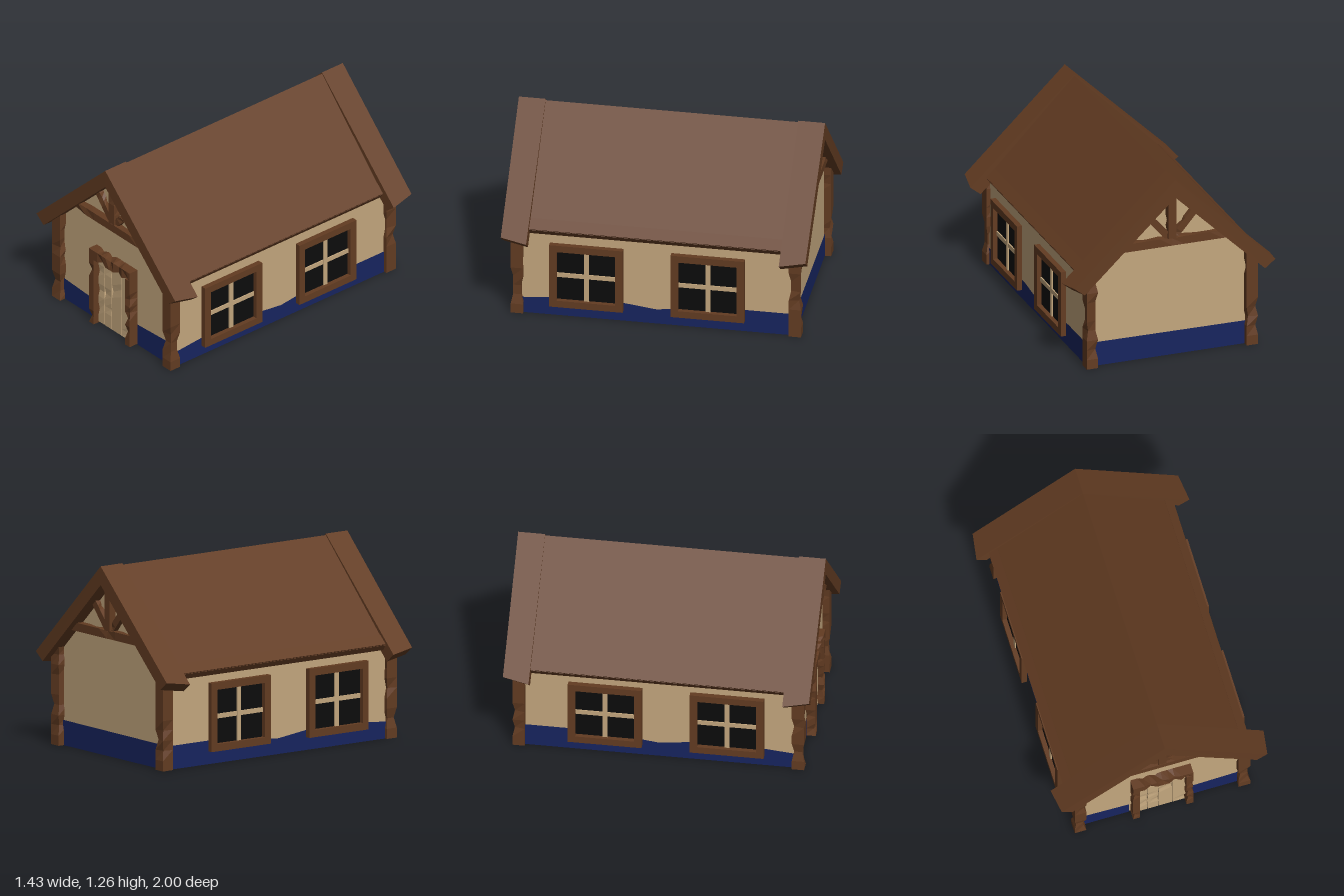
import * as THREE from 'three';

const mat = (color, side = THREE.FrontSide) =>
  new THREE.MeshStandardMaterial({ color, side, flatShading: true });
const wood = mat(0x633c22);
const plaster = mat(0xc4a77e, THREE.DoubleSide);
const planks = mat(0xc4a77e);
const paint = mat(0x17245f, THREE.DoubleSide);
const glass = mat(0x0c0c0c);

function add(parent, name, geometry, material, x = 0, y = 0, z = 0) {
  const mesh = new THREE.Mesh(geometry, material);
  mesh.name = name;
  mesh.position.set(x, y, z);
  parent.add(mesh);
  return mesh;
}

const shapeOf = (points) => new THREE.Shape(points.map(([x, y]) => new THREE.Vector2(x, y)));

// Upright timber with a few nicks cut into its long edges
function timber(w, h, d, seed, nick = 0.014) {
  const rings = 10;
  const g = new THREE.BoxGeometry(w, h, d, 1, rings, 1);
  const p = g.attributes.position;
  for (let i = 0; i < p.count; i++) {
    const ring = Math.round((p.getY(i) / h + 0.5) * rings);
    if (ring === 0 || ring === rings) continue;
    const sx = Math.sign(p.getX(i)), sz = Math.sign(p.getZ(i));
    const n = Math.sin(ring * 12.9898 + sx * 78.233 + sz * 37.719 + seed * 4.37) * 43758.5453;
    if (n - Math.floor(n) > 0.24) continue;
    p.setX(i, p.getX(i) - sx * nick);
    p.setZ(i, p.getZ(i) - sz * nick);
  }
  g.computeVertexNormals();
  return g;
}

// Gable end: wall, truss timbers and the wide roof edge, facing +z
function gableEnd(name, seed) {
  const end = new THREE.Group();
  end.name = name;
  add(end, 'gableWall', new THREE.ShapeGeometry(shapeOf(
    [[-0.56, 0], [0.56, 0], [0.56, 0.65], [0, 1.2], [-0.56, 0.65]])), plaster, 0, 0, 0.9);

  const tie = add(end, 'tieBeam', timber(0.055, 0.86, 0.06, seed + 1, 0.008), wood, 0, 0.808, 0.92);
  tie.rotation.z = Math.PI / 2;
  add(end, 'kingPost', timber(0.056, 0.38, 0.06, seed + 2, 0.008), wood, 0, 1.02, 0.918);
  for (const s of [-1, 1]) {
    const brace = add(end, 'brace', timber(0.046, 0.29, 0.04, seed + 3 + s, 0.008),
      wood, s * 0.11, 0.94, 0.915);
    brace.rotation.z = -s * 0.71;
    add(end, 'cornerPost', timber(0.078, 0.66, 0.08, seed + 6 + s), wood, s * 0.55, 0.33, 0.908);
  }

  // Roof edge, its eave tips drawn in slightly on the outer face
  const edge = new THREE.ExtrudeGeometry(shapeOf([
    [0, 1.26], [-0.715, 0.575], [-0.645, 0.52], [0, 1.137], [0.645, 0.52], [0.715, 0.575]]),
  { depth: 0.175, bevelEnabled: false });
  const p = edge.attributes.position;
  for (let i = 0; i < p.count; i++) {
    const x = p.getX(i);
    if (Math.abs(x) < 0.6 || p.getZ(i) < 0.1) continue;
    p.setX(i, x - Math.sign(x) * 0.025);
    p.setY(i, p.getY(i) + 0.024);
    p.setZ(i, p.getZ(i) - 0.005);
  }
  edge.computeVertexNormals();
  add(end, 'roofEdge', edge, wood, 0, 0, 0.825);
  return end;
}

// Window facing +z, centred on its own origin
function makeWindow() {
  const w = new THREE.Group();
  w.name = 'window';
  const frame = shapeOf([[-0.24, -0.225], [0.24, -0.225], [0.24, 0.225], [-0.24, 0.225]]);
  frame.holes.push(shapeOf([[-0.192, -0.178], [-0.192, 0.178], [0.192, 0.178], [0.192, -0.178]]));
  add(w, 'windowFrame', new THREE.ExtrudeGeometry(frame, { depth: 0.036, bevelEnabled: false }),
    wood, 0, 0, 0.031);
  add(w, 'windowPane', new THREE.BoxGeometry(0.385, 0.357, 0.012), glass, 0, 0, 0.03);
  add(w, 'uprightBar', new THREE.BoxGeometry(0.032, 0.357, 0.02), planks, 0, 0, 0.035);
  add(w, 'crossBar', new THREE.BoxGeometry(0.385, 0.03, 0.018), planks, 0, 0, 0.035);
  return w;
}

// Band of paint along the foot of a wall; tops lists [position, height]
function paintBand(tops) {
  const a = tops[0][0], b = tops[tops.length - 1][0];
  return new THREE.ShapeGeometry(shapeOf([[a, 0], [b, 0], ...[...tops].reverse()]));
}

export function createModel() {
  const house = new THREE.Group();
  house.name = 'house';

  // Gable ends
  const front = gableEnd('frontEnd', 1);
  const back = gableEnd('backEnd', 20);
  back.rotation.y = Math.PI;
  house.add(front, back);
  add(front, 'paintBand', paintBand([[-0.53, 0.153], [-0.212, 0.135]]), paint, 0, 0, 0.906);
  add(front, 'paintBand', paintBand([[0.212, 0.153], [0.53, 0.17]]), paint, 0, 0, 0.906);
  add(back, 'paintBand', paintBand([[-0.53, 0.165], [0.53, 0.16]]), paint, 0, 0, 0.906);

  // Door of uneven planks in a heavy frame
  const door = new THREE.Group();
  door.name = 'door';
  front.add(door);
  const seams = [-0.158, -0.095, -0.022, 0.072, 0.158];
  for (let i = 0; i < 4; i++) {
    const w = seams[i + 1] - seams[i];
    add(door, 'doorPlank', timber(w - 0.005, 0.485, 0.024, 31 + i, 0.006), planks,
      seams[i] + w / 2, 0.252, 0.913);
  }
  for (const s of [-1, 1]) {
    add(door, 'doorJamb', timber(0.046, 0.5, 0.07, 42 + s), wood, s * 0.179, 0.25, 0.93);
  }
  const lintel = add(door, 'doorLintel', timber(0.07, 0.404, 0.074, 47), wood, 0, 0.526, 0.93);
  lintel.rotation.z = Math.PI / 2;

  // Long walls with paint and two windows each
  for (const s of [-1, 1]) {
    const side = new THREE.Group();
    side.name = s > 0 ? 'leftWall' : 'rightWall';
    side.rotation.y = s * Math.PI / 2;
    side.position.x = s * 0.562;
    house.add(side);
    add(side, 'sideWall', new THREE.PlaneGeometry(1.8, 0.65), plaster, 0, 0.325, 0);
    // Local x runs toward -z on the left wall and +z on the right wall
    const tops = [[-0.88, 0.11], [-0.6, 0.135], [-0.22, 0.13], [0, 0.103],
      [0.22, 0.13], [0.57, 0.155], [0.88, 0.155]];
    const band = s > 0 ? tops : tops.map(([x, y]) => [-x, y]).reverse();
    add(side, 'paintBand', paintBand(band), paint, 0, 0, 0.006);
    for (const z of [0.45, -0.343]) {
      const win = makeWindow();
      win.position.set(-s * z, 0.315, 0);
      side.add(win);
    }
  }

  // Main roof between the gable edges
  const roof = new THREE.ExtrudeGeometry(shapeOf([
    [0, 1.25], [-0.63, 0.625], [-0.605, 0.59], [0, 1.185], [0.58, 0.59], [0.605, 0.625]]),
  { depth: 1.66, bevelEnabled: false });
  add(house, 'roof', roof, wood, 0, 0, -0.83);

  // Eave boards raised slightly above the roof surface
  for (const [s, edge] of [[1, 0.605], [-1, 0.63]]) {
    const top = edge - 0.055;
    const pts = [[s * top, 0.685], [s * (edge + 0.002), 0.632], [s * (edge - 0.025), 0.592],
      [s * (top - 0.03), 0.645]];
    add(house, 'eaveBoard', new THREE.ExtrudeGeometry(shapeOf(pts),
      { depth: 1.66, bevelEnabled: false }), wood, 0, 0, -0.83);
  }
  return house;
}
